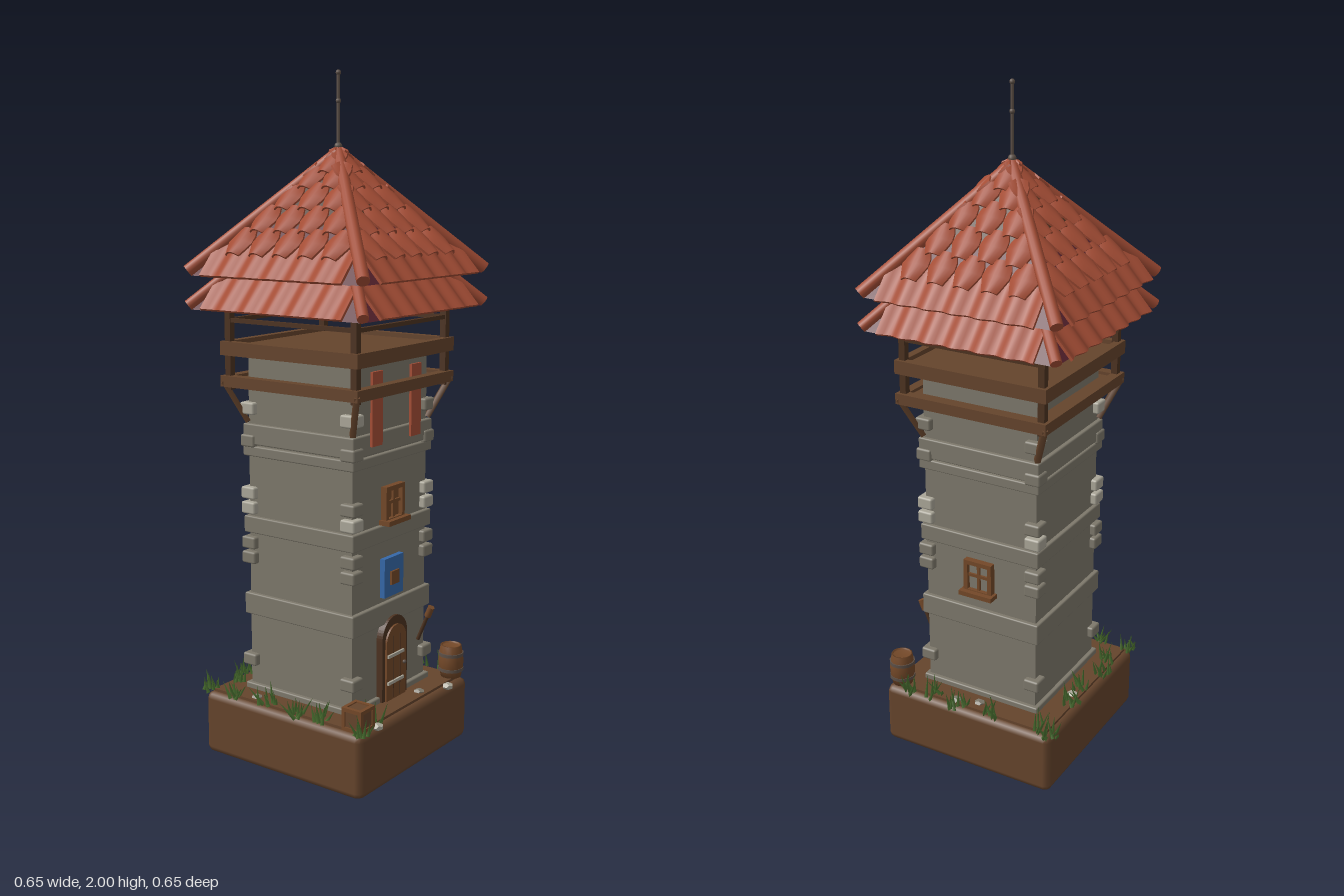
import * as THREE from 'three';
import { RoundedBoxGeometry } from 'three/addons/geometries/RoundedBoxGeometry.js';

const mat = (name, color, side = THREE.FrontSide) => {
  const m = new THREE.MeshStandardMaterial({ color, side });
  m.name = name;
  return m;
};

export function createModel() {
  const root = new THREE.Group();
  root.name = 'watchtower';
  const M = {
    roof: mat('terracotta', 0xa44d35),
    maroon: mat('roof underlay', 0x5c2530, THREE.DoubleSide),
    wood: mat('wood', 0x734828),
    dark: mat('dark wood', 0x4c3220, THREE.DoubleSide),
    earth: mat('earth brown', 0x65442c),
    stone: mat('wall stone', 0x7d786b),
    pale: mat('pale stone', 0xaaa698),
    blue: mat('blue cloth', 0x3568a8),
    grass: mat('grass', 0x4a7030, THREE.DoubleSide),
    metal: mat('metal', 0x5c4f46),
  };
  let seed = 7;
  const rnd = () => (seed = (seed * 16807) % 2147483647) / 2147483647;

  const group = (name, parent = root) => {
    const g = new THREE.Group();
    g.name = name;
    parent.add(g);
    return g;
  };
  const add = (name, geo, m, x, y, z, parent = root) => {
    const mesh = new THREE.Mesh(geo, m);
    mesh.name = name;
    mesh.position.set(x, y, z);
    parent.add(mesh);
    return mesh;
  };
  const box = (name, m, w, h, d, x, y, z, parent) => add(name, new THREE.BoxGeometry(w, h, d), m, x, y, z, parent);
  const rounded = (name, m, w, h, d, x, y, z, parent, r = 0.006) =>
    add(name, new RoundedBoxGeometry(w, h, d, 1, r), m, x, y, z, parent);
  // Straight round or square bar between two points
  const bar = (name, m, a, b, r, sides, parent) => {
    const p = new THREE.Vector3(...a), q = new THREE.Vector3(...b), dir = q.clone().sub(p);
    const mesh = add(name, new THREE.CylinderGeometry(r, r, dir.length(), sides), m, 0, 0, 0, parent);
    mesh.position.copy(p).lerp(q, 0.5);
    mesh.quaternion.setFromUnitVectors(new THREE.Vector3(0, 1, 0), dir.normalize());
    return mesh;
  };
  const corners = [[1, 1], [1, -1], [-1, -1], [-1, 1]];

  // Plinth of earth
  rounded('plinth', M.earth, 0.57, 0.19, 0.57, 0, 0.095, 0, root, 0.02);
  box('plinthTop', M.earth, 0.53, 0.012, 0.53, 0, 0.192, 0);

  // Tower shaft, stone bands and corner stones
  const tower = group('tower');
  box('shaft', M.stone, 0.37, 1.01, 0.37, 0, 0.695, 0, tower);
  [[0.205, 0.02], [0.463, 0.065], [0.705, 0.05], [0.925, 0.03], [0.975, 0.06]].forEach(([y, h]) =>
    rounded('stoneBand', M.stone, 0.396, h, 0.396, 0, y, 0, tower, 0.004));
  corners.forEach(([sx, sz], i) => {
    [0.29, 0.605, 0.65, 0.755, 0.8, 0.955, 1.05].forEach((y, j) => {
      const pale = j === 3 || (j === 4 && i % 2 === 0) || (j === 6 && i > 1);
      rounded('cornerStone', pale ? M.pale : M.stone, 0.05, 0.036, 0.05, sx * 0.179, y, sz * 0.179, tower);
    });
  });

  // Gallery: floors, beams, posts, braces
  const gallery = group('gallery');
  box('galleryFloor', M.earth, 0.45, 0.014, 0.45, 0, 1.13, 0, gallery);
  box('galleryDeck', M.earth, 0.45, 0.02, 0.45, 0, 1.222, 0, gallery);
  for (let k = 0; k < 4; k++) {
    const side = group('gallerySide', gallery);
    side.rotation.y = k * Math.PI / 2;
    box('lowerBeam', M.earth, 0.484, 0.032, 0.03, 0, 1.13, 0.227, side);
    box('upperBeam', M.earth, 0.484, 0.04, 0.024, 0, 1.225, 0.23, side);
    box('topRail', M.dark, 0.45, 0.012, 0.014, 0, 1.305, 0.222, side);
  }
  corners.forEach(([sx, sz]) => {
    box('post', M.dark, 0.02, 0.27, 0.02, sx * 0.222, 1.24, sz * 0.222, gallery);
    bar('brace', M.earth, [sx * 0.187, 1.01, sz * 0.187], [sx * 0.236, 1.13, sz * 0.236], 0.011, 4, gallery);
  });

  // Roof underlay: square rings following the roof slope
  const roof = group('roof');
  const slope = 1.1, tilt = Math.atan(slope) - Math.PI / 2;
  const ring = (name, m, apex, rIn, rOut) => {
    const geo = new THREE.CylinderGeometry(rIn * Math.SQRT2, rOut * Math.SQRT2, (rOut - rIn) * slope, 4, 1, true).toNonIndexed();
    geo.computeVertexNormals();
    add(name, geo, m, 0, apex - (rIn + rOut) / 2 * slope, 0, roof).rotation.y = Math.PI / 4;
  };
  ring('lowerUnderlay', M.maroon, 1.664, 0.17, 0.298);
  ring('upperUnderlay', M.maroon, 1.76, 0.17, 0.298);
  ring('roofBoards', M.dark, 1.76, 0.001, 0.17);

  // Curved tile: narrow neck, flared middle, clipped lower corners
  const tileGeo = new THREE.BoxGeometry(0.076, 0.1, 0.006, 8, 4, 1);
  const tp = tileGeo.attributes.position;
  const flare = [0.62, 0.86, 1.08, 1, 0.72];
  for (let i = 0; i < tp.count; i++) {
    const u = tp.getX(i) / 0.038, v = tp.getY(i) / 0.05;
    tp.setX(i, tp.getX(i) * flare[Math.round((v + 1) * 2)]);
    tp.setZ(i, tp.getZ(i) + 0.014 * Math.cos(u * Math.PI / 2) - 0.006 * v);
  }
  tileGeo.computeVertexNormals();
  // Wavy eave strip
  const eaveGeo = new THREE.BoxGeometry(0.49, 0.115, 0.008, 48, 1, 1);
  const ep = eaveGeo.attributes.position;
  for (let i = 0; i < ep.count; i++) {
    const w = Math.cos(ep.getX(i) / 0.082 * Math.PI * 2);
    ep.setZ(i, ep.getZ(i) + 0.006 * w);
    if (ep.getY(i) < 0) ep.setY(i, ep.getY(i) - 0.004 * w);
  }
  eaveGeo.computeVertexNormals();
  // Tile rows as [lower edge distance from the centre, number of tiles]
  const rows = [[0.264, 5], [0.208, 4], [0.152, 3], [0.1, 2], [0.062, 1]];
  for (let k = 0; k < 4; k++) {
    const face = group('roofFace', roof);
    face.rotation.y = k * Math.PI / 2;
    [1.683, 1.777].forEach((apex) => {
      add('eaveTiles', eaveGeo, M.roof, 0, apex - 0.273 * slope, 0.273, face).rotation.x = tilt;
    });
    rows.forEach(([r, n]) => {
      for (let i = 0; i < n; i++) {
        const z = r - 0.034;
        const t = add('tile', tileGeo, M.roof, (i - (n - 1) / 2) * 0.084, 1.777 - z * slope, z, face);
        t.rotation.x = tilt;
        t.rotation.z = (rnd() - 0.5) * 0.1;
      }
    });
  }
  corners.forEach(([sx, sz]) => {
    bar('hipPole', M.roof, [0, 1.774, 0], [sx * 0.304, 1.445, sz * 0.304], 0.018, 12, roof);
    bar('lowerHipPole', M.roof, [sx * 0.15, 1.515, sz * 0.15], [sx * 0.304, 1.348, sz * 0.304], 0.016, 12, roof);
  });

  // Spire
  const spire = group('spire');
  bar('rod', M.metal, [0, 1.75, 0], [0, 1.995, 0], 0.005, 8, spire);
  [[1.79, 0.012], [1.915, 0.008], [1.992, 0.008]].forEach(([y, r]) =>
    add('knob', new THREE.SphereGeometry(r, 10, 8), M.metal, 0, y, 0, spire));

  // Banners and blue sign
  [-0.096, 0.098].forEach((x) => box('banner', M.roof, 0.05, 0.21, 0.008, x, 1.075, 0.203));
  box('blueSign', M.blue, 0.096, 0.116, 0.016, 0, 0.57, 0.193);
  box('signSquare', M.wood, 0.04, 0.04, 0.008, 0, 0.567, 0.203);

  // Windows
  const windowAt = (y, angle, pane) => {
    const w = group('window');
    w.rotation.y = angle;
    box('pane', pane, 0.08, 0.09, 0.01, 0, y, 0.187, w);
    [-1, 1].forEach((s) => {
      box('jamb', M.wood, 0.013, 0.106, 0.022, s * 0.04, y, 0.194, w);
      box('lintel', M.wood, 0.093, 0.013, 0.022, 0, y + s * 0.047, 0.194, w);
    });
    box('mullion', M.wood, 0.009, 0.09, 0.014, 0, y, 0.192, w);
    box('crossbar', M.wood, 0.08, 0.009, 0.014, 0, y + 0.005, 0.192, w);
    box('sill', M.wood, 0.11, 0.014, 0.038, 0, y - 0.05, 0.202, w);
  };
  windowAt(0.787, 0, M.wood);
  windowAt(0.6, Math.PI / 2, M.stone);

  // Arched door
  const door = group('door');
  const arch = (w, h, d) => {
    const s = new THREE.Shape();
    s.moveTo(-w, 0).lineTo(w, 0).lineTo(w, h - w).absarc(0, h - w, w, 0, Math.PI, false);
    return new THREE.ExtrudeGeometry(s, { depth: d, bevelEnabled: false, curveSegments: 12 });
  };
  add('doorFrame', arch(0.064, 0.25, 0.026), M.dark, 0, 0.2, 0.18, door);
  add('doorLeaf', arch(0.05, 0.224, 0.006), M.wood, 0, 0.2, 0.206, door);
  [-0.017, 0.017].forEach((x) => box('plankGap', M.dark, 0.003, 0.19, 0.002, x, 0.3, 0.2125, door));
  [0.255, 0.337].forEach((y) => box('hinge', M.pale, 0.08, 0.009, 0.008, -0.008, y, 0.214, door));
  add('doorKnob', new THREE.SphereGeometry(0.006, 8, 6), M.metal, 0.036, 0.3, 0.216, door);

  // Torch beside the door
  const torch = group('torch');
  bar('torchHandle', M.dark, [0.15, 0.33, 0.188], [0.15, 0.42, 0.226], 0.006, 8, torch);
  bar('torchHead', M.wood, [0.15, 0.41, 0.222], [0.15, 0.44, 0.235], 0.011, 8, torch);

  // Barrel and crate
  const barrel = group('barrel');
  const profile = [[0, 0], [0.031, 0], [0.037, 0.03], [0.039, 0.05], [0.037, 0.07], [0.032, 0.1], [0.028, 0.1], [0.028, 0.094], [0, 0.094]];
  add('staves', new THREE.LatheGeometry(profile.map((p) => new THREE.Vector2(...p)), 14), M.wood, 0.247, 0.197, 0.247, barrel);
  [0.222, 0.27].forEach((y) => add('hoop', new THREE.CylinderGeometry(0.039, 0.039, 0.01, 14), M.metal, 0.247, y, 0.247, barrel));
  const crate = group('crate');
  crate.position.set(-0.245, 0.23, 0.25);
  box('crateBody', M.earth, 0.06, 0.06, 0.06, 0, 0, 0, crate);
  [-1, 1].forEach((s) => [-1, 1].forEach((t) => {
    box('crateEdge', M.wood, 0.011, 0.066, 0.011, s * 0.028, 0, t * 0.028, crate);
    box('crateEdge', M.wood, 0.066, 0.011, 0.011, 0, s * 0.028, t * 0.028, crate);
    box('crateEdge', M.wood, 0.011, 0.011, 0.066, s * 0.028, t * 0.028, 0, crate);
  }));

  // Grass tufts and pebbles around the foot
  const blade = new THREE.ConeGeometry(0.009, 1, 3, 1, true).translate(0, 0.5, 0);
  const tufts = [[-0.28, 0.28], [-0.2, 0.26], [0.28, 0.2], [0.27, 0.12], [0.28, 0.03], [0.26, -0.08], [0.26, -0.25], [0.27, -0.29],
    [0.1, -0.26], [0.02, -0.25], [-0.1, -0.27], [-0.18, -0.25], [-0.27, -0.28], [-0.27, -0.18], [-0.26, -0.06], [-0.27, 0.06], [-0.26, 0.14]];
  tufts.forEach(([x, z]) => {
    const tuft = group('grassTuft');
    tuft.position.set(x, 0.194, z);
    for (let i = 0; i < 9; i++) {
      const b = add('blade', blade, M.grass, (rnd() - 0.5) * 0.045, 0, (rnd() - 0.5) * 0.045, tuft);
      b.scale.set(1, 0.035 + rnd() * 0.04, 0.6);
      b.rotation.set((rnd() - 0.5) * 1.1, 0, (rnd() - 0.5) * 1.1);
    }
  });
  [[0.17, 0.285], [0.08, 0.24], [0.25, 0.05], [-0.2, 0.285], [0.23, -0.02], [-0.24, -0.12], [0.05, -0.24]].forEach(([x, z], i) => {
    add('pebble', new THREE.DodecahedronGeometry(0.018), i % 3 ? M.stone : M.pale, x, 0.196, z).scale.set(1, 0.6, 1);
  });

  return root;
}
